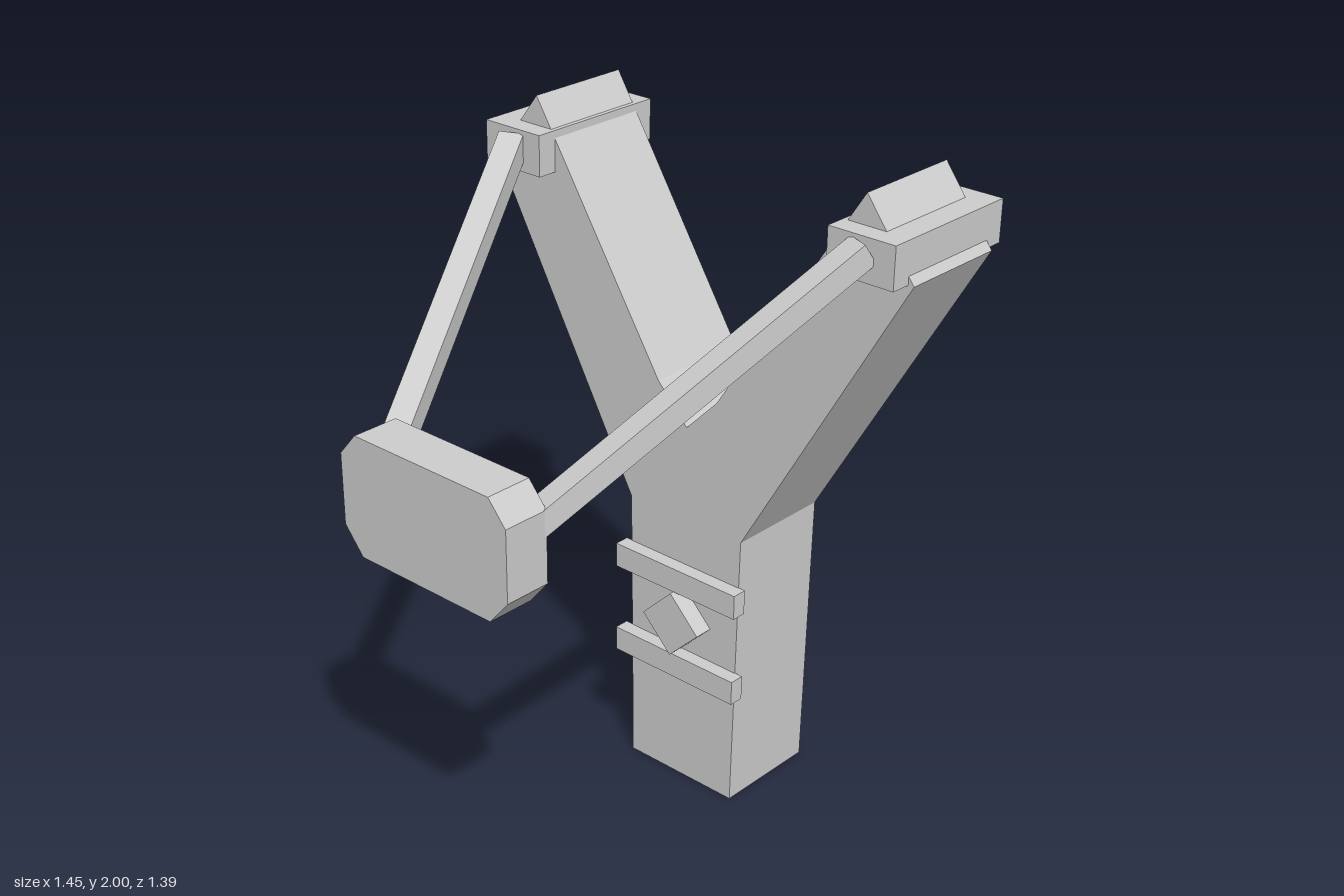
import * as THREE from 'three';

const grey = new THREE.MeshStandardMaterial({ color: 0xcccccc });
grey.name = 'plain grey';

function add(parent, name, geometry, x = 0, y = 0, z = 0) {
  const mesh = new THREE.Mesh(geometry, grey);
  mesh.name = name;
  mesh.position.set(x, y, z);
  parent.add(mesh);
  return mesh;
}

// Extrudes an outline, given as its +x half from bottom to top and mirrored to -x.
function mirroredPlate(half, depth) {
  const left = half.filter(([x]) => x > 0).reverse().map(([x, y]) => [-x, y]);
  const shape = new THREE.Shape([...half, ...left].map(([x, y]) => new THREE.Vector2(x, y)));
  return new THREE.ExtrudeGeometry(shape, { depth, bevelEnabled: false });
}

export function createModel() {
  const model = new THREE.Group();
  model.name = 'slingshot';

  // Y-shaped frame: handle, flared arms with slanted tips, valley between them
  add(model, 'frame', mirroredPlate([
    [0.195, 0], [0.207, 0.88], [0.727, 1.795], [0.57, 2], [0.107, 1.28], [0, 1.17],
  ], 0.333), 0, 0, -0.632);

  // Pouch with chamfered corners
  add(model, 'pouch', mirroredPlate([
    [0.235, 1.075], [0.298, 1.15], [0.298, 1.355], [0.24, 1.422],
  ], 0.138), 0, 0, 0.555);

  // Fork-tip clamps and the elastic bands running to the pouch
  for (const side of [1, -1]) {
    const label = side > 0 ? 'left' : 'right';
    add(model, label + 'Clamp', new THREE.BoxGeometry(0.208, 0.12, 0.455), side * 0.605, 1.855, -0.465);

    const start = new THREE.Vector3(side * 0.608, 1.877, -0.245);
    const end = new THREE.Vector3(side * 0.25, 1.295, 0.58);
    const band = add(model, label + 'Band', new THREE.BoxGeometry(0.074, 0.065, start.distanceTo(end)));
    band.position.copy(start).lerp(end, 0.5);
    band.lookAt(end);
  }

  // Grip strips across the front of the handle
  for (const [name, y] of [['upperStrip', 0.695], ['lowerStrip', 0.408]]) {
    add(model, name, new THREE.BoxGeometry(0.452, 0.076, 0.046), 0, y, -0.278);
  }

  // Diamond stud between the strips
  const stud = add(model, 'diamondStud', new THREE.BoxGeometry(0.147, 0.147, 0.06), 0, 0.555, -0.27);
  stud.rotation.z = Math.PI / 4;

  return model;
}
